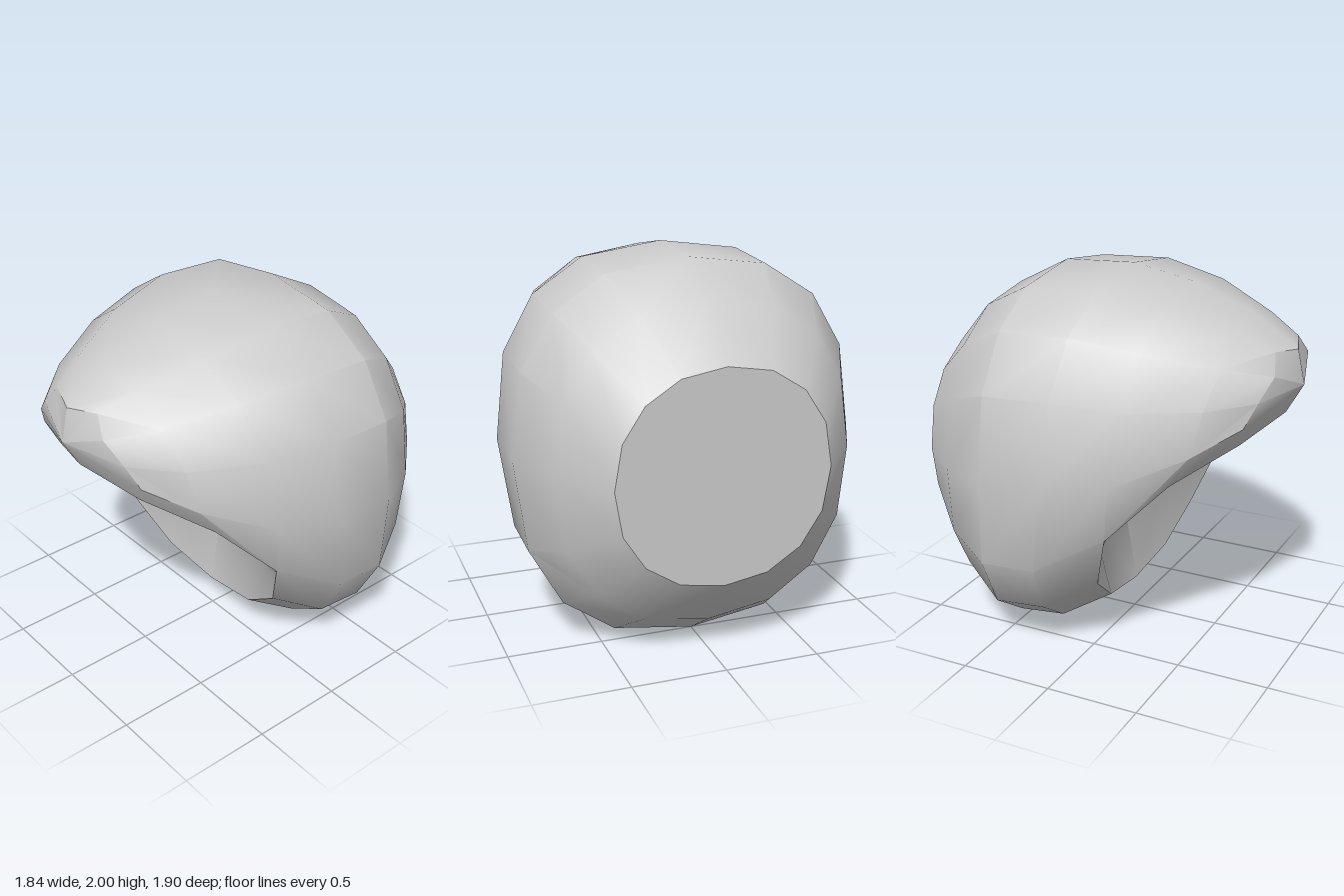
import * as THREE from 'three';
import { toCreasedNormals } from 'three/addons/utils/BufferGeometryUtils.js';

// Collects the faces of the +x half and mirrors each one to the -x half
function mirroredSurface() {
  const pos = [];
  const flip = ([x, y, z]) => [-x, y, z];
  const tri = (a, b, c) => {
    pos.push(...a, ...b, ...c, ...flip(a), ...flip(c), ...flip(b));
  };
  const quad = (a, b, c, d) => { tri(a, b, c); tri(a, c, d); };
  const mesh = (name, creaseDegrees) => {
    let geo = new THREE.BufferGeometry();
    geo.setAttribute('position', new THREE.Float32BufferAttribute(pos, 3));
    geo = toCreasedNormals(geo, THREE.MathUtils.degToRad(creaseDegrees));
    const m = new THREE.Mesh(geo, new THREE.MeshStandardMaterial({ color: 0xcccccc }));
    m.name = name;
    return m;
  };
  return { tri, quad, mesh };
}

// Half of a rounded 16-sided ring, from the bottom (0) over the side (4) to the top (8)
function halfRing({ w, mid, bottom, top, sideZ, power }) {
  const points = [];
  for (let i = 0; i <= 8; i++) {
    const a = (i * Math.PI) / 8;
    const s = i % 8 === 0 ? 0 : Math.pow(Math.sin(a), power);
    const c = i === 4 ? 0 : Math.pow(Math.abs(Math.cos(a)), power);
    const [endZ, endY] = i < 4 ? bottom : top;
    points.push([w * s, mid + (endY - mid) * c, sideZ + (endZ - sideZ) * c]);
  }
  return points;
}

export function createModel() {
  const group = new THREE.Group();
  group.name = 'head';

  // Mouth rim, from the centre to the corner
  const corner = [0.75, 0.76, 0.2];
  const upperLip = [[0, 1.31, 0.86], [0.35, 1.23, 0.75], [0.6, 1.05, 0.48], corner];
  const lowerLip = [[0, 0.18, 0.01], [0.35, 0.24, 0.03], [0.6, 0.43, 0.08], corner];

  // Skull rings from the neck forwards; bottom and top are [z, y]
  const rings = [
    { w: 0.56, mid: 1.0, bottom: [-0.95, 0.44], top: [-0.95, 1.555], sideZ: -0.95, power: 0.92 },
    { w: 0.78, mid: 1.0, bottom: [-0.74, 0.16], top: [-0.69, 1.83], sideZ: -0.7, power: 0.85 },
    { w: 0.92, mid: 1.02, bottom: [-0.5, 0], top: [-0.4, 1.98], sideZ: -0.42, power: 0.8 },
    { w: 0.92, mid: 1.03, bottom: [-0.24, 0.03], top: [0, 2], sideZ: -0.07, power: 0.8 },
    { w: 0.81, mid: 1.07, bottom: [0.01, 0.18], top: [0.36, 1.93], sideZ: 0.25, power: 0.85 },
  ].map(halfRing);
  lowerLip.forEach((p, i) => { rings[4][i] = p; });

  // Muzzle rings start at the upper lip
  const none = [null, null, null];
  rings.push([...none, upperLip[2], [0.62, 1.22, 0.59], [0.57, 1.45, 0.64],
    [0.43, 1.63, 0.67], [0.23, 1.76, 0.68], [0, 1.805, 0.68]]);
  rings.push([...none, upperLip[1], [0.42, 1.34, 0.79], [0.36, 1.46, 0.84],
    [0.25, 1.57, 0.88], [0.17, 1.67, 0.85], [0, 1.65, 0.91]]);
  const noseTip = [0, 1.47, 0.95];

  const skull = mirroredSurface();
  for (let k = 0; k < rings.length - 1; k++) {
    for (let i = k < 4 ? 0 : 3; i < 8; i++) {
      skull.quad(rings[k][i], rings[k][i + 1], rings[k + 1][i + 1], rings[k + 1][i]);
    }
  }
  // Front of the muzzle with the small nose facets
  for (let i = 3; i < 8; i++) skull.tri(rings[6][i], rings[6][i + 1], noseTip);
  skull.tri(upperLip[0], upperLip[1], noseTip);
  group.add(skull.mesh('skull', 33));

  // Flat neck face
  const neck = mirroredSurface();
  for (let i = 0; i < 8; i++) neck.tri([0, 1, -0.95], rings[0][i + 1], rings[0][i]);
  group.add(neck.mesh('neckFace', 30));

  // Mouth lining: floor, back ridge and palate between the lips
  const rows = [
    lowerLip,
    [[0, 0.6, -0.06], [0.35, 0.58, 0], [0.6, 0.62, 0.1], corner],
    [[0, 0.97, 0], [0.35, 0.93, 0.15], [0.6, 0.82, 0.19], corner],
    [[0, 1.13, 0.15], [0.35, 1.04, 0.36], [0.6, 0.93, 0.32], corner],
    upperLip,
  ];
  const mouth = mirroredSurface();
  for (let r = 0; r < 4; r++) {
    for (let j = 0; j < 2; j++) {
      mouth.quad(rows[r][j], rows[r][j + 1], rows[r + 1][j + 1], rows[r + 1][j]);
    }
    mouth.tri(rows[r][2], corner, rows[r + 1][2]);
  }
  group.add(mouth.mesh('mouth', 36));

  return group;
}
